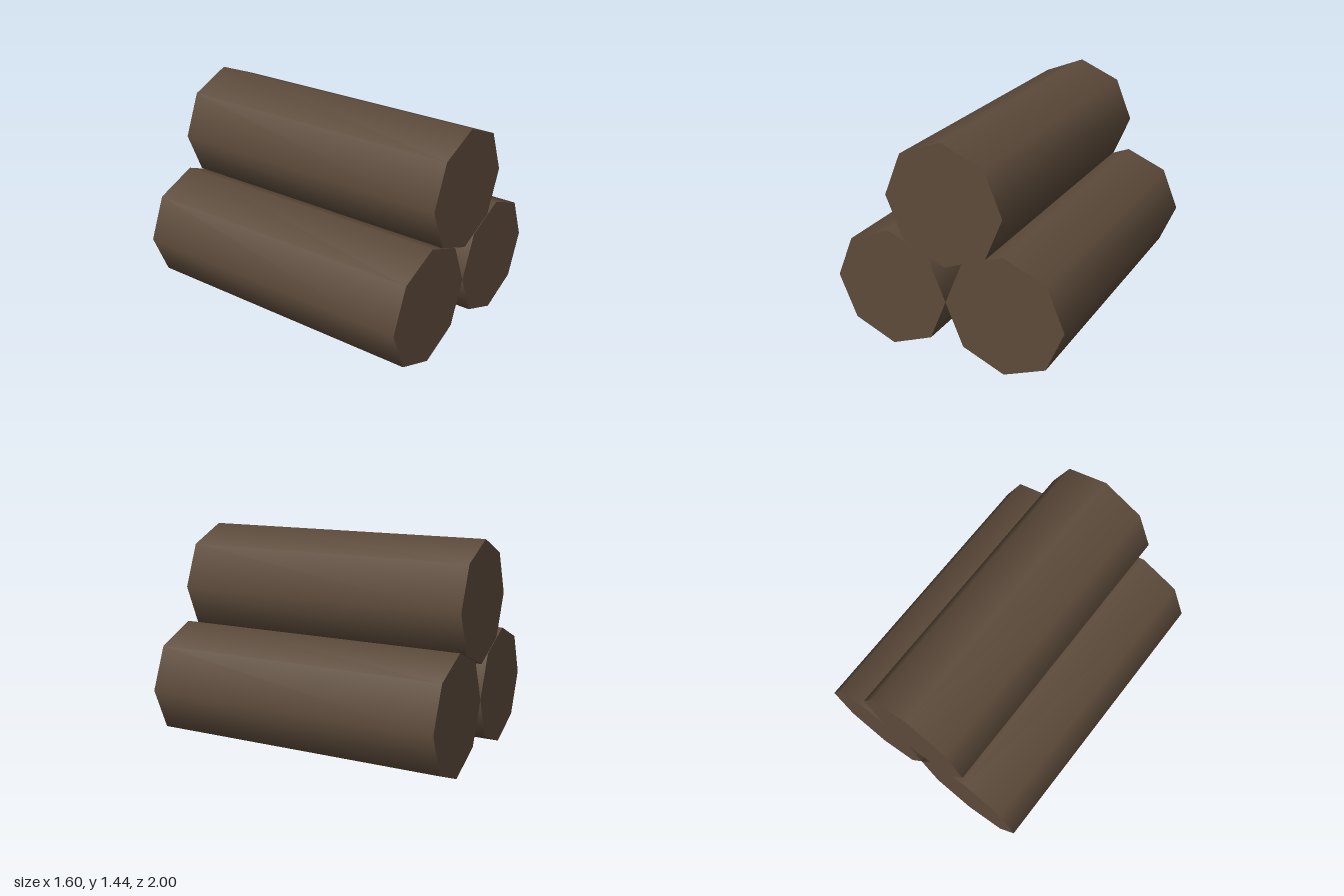
import * as THREE from 'three';

export function createModel() {
  const group = new THREE.Group();
  group.name = 'logPile';

  const bark = new THREE.MeshStandardMaterial({ color: 0x5c4a3a });
  bark.name = 'brown wood';

  // Eight-sided log lying along z, with smooth sides and flat ends
  const radius = 0.4;
  const logGeometry = new THREE.CylinderGeometry(radius, radius, 2, 8).rotateX(Math.PI / 2);

  // Two logs on the ground, one resting between them
  const logs = [
    ['leftLog', 0.4, 0.4],
    ['rightLog', -0.4, 0.4],
    ['topLog', 0, 1.04],
  ];
  for (const [name, x, y] of logs) {
    const log = new THREE.Mesh(logGeometry, bark);
    log.name = name;
    log.position.set(x, y, 0);
    group.add(log);
  }
  return group;
}
